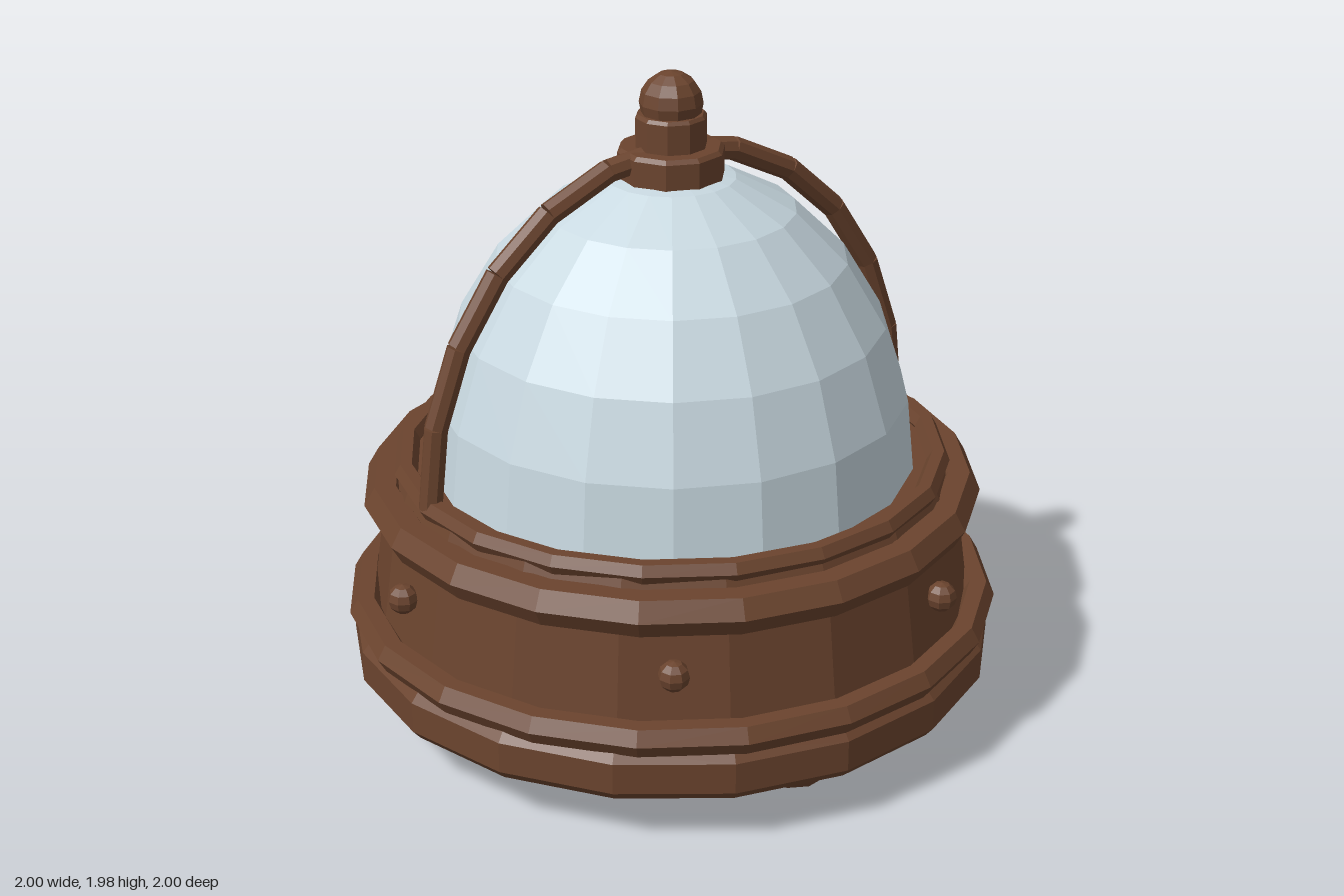
import * as THREE from 'three';

const brown = new THREE.MeshStandardMaterial({ color: 0x6b442e });
brown.name = 'brown metal';
const glass = new THREE.MeshStandardMaterial({ color: 0xc8d8e0 });
glass.name = 'pale glass';

// Faceted mesh: unshared corners give every face its own normal
function part(name, geometry, material = brown) {
  const g = geometry.index ? geometry.toNonIndexed() : geometry;
  g.computeVertexNormals();
  const mesh = new THREE.Mesh(g, material);
  mesh.name = name;
  return mesh;
}

// Turned part from [radius, y] pairs, listed bottom to top
function turned(name, sides, points) {
  return part(name, new THREE.LatheGeometry(points.map(([r, y]) => new THREE.Vector2(r, y)), sides));
}

// Six-sided ring lying flat
function ring(name, radius, tube, y) {
  const g = new THREE.TorusGeometry(radius, tube, 6, 20).rotateX(Math.PI / 2);
  return part(name, g.translate(0, y, 0));
}

export function createModel() {
  const model = new THREE.Group();
  model.name = 'dome lamp';

  // Base plate, tapered housing and its rings
  model.add(
    turned('basePlate', 18, [[0, 0.15], [0.965, 0.15], [0.99, 0.18], [0.99, 0.275], [0.965, 0.305], [0, 0.305]]),
    turned('housing', 18, [[0.925, 0.3], [0.875, 0.66], [0.83, 0.78], [0, 0.78]]),
    ring('lowerRing', 0.95, 0.05, 0.34),
    ring('upperRing', 0.875, 0.065, 0.696),
    ring('rimRing', 0.81, 0.035, 0.79),
  );

  // Feet: one at the front, two at the back
  for (let i = 0; i < 3; i++) {
    const a = (i * 2 * Math.PI) / 3;
    const foot = turned('foot', 8, [[0, 0], [0.085, 0.02], [0.16, 0.09], [0.16, 0.17]]);
    foot.position.set(0.71 * Math.sin(a), 0, 0.71 * Math.cos(a));
    foot.rotation.y = a;
    model.add(foot);
  }

  // Rivets around the housing
  for (let i = 0; i < 6; i++) {
    const a = (i * Math.PI) / 3;
    const rivet = part('rivet', new THREE.SphereGeometry(0.046, 8, 6));
    rivet.position.set(0.91 * Math.cos(a), 0.522, 0.91 * Math.sin(a));
    model.add(rivet);
  }

  // Glass dome, slightly taller than a half sphere
  const dome = new THREE.SphereGeometry(0.74, 18, 6, 0, Math.PI * 2, 0, Math.PI / 2);
  dome.scale(1, 0.945 / 0.74, 1).translate(0, 0.755, 0);
  model.add(part('glassDome', dome, glass));

  // Guard arch made of short straight bars
  const guard = new THREE.Group();
  guard.name = 'guardArch';
  const archPoint = (i) => {
    const a = (i * Math.PI) / 12;
    return new THREE.Vector3(0.81 * Math.cos(a), 0.79 + 0.96 * Math.sin(a), 0);
  };
  for (let i = 0; i < 12; i++) {
    const p = archPoint(i), q = archPoint(i + 1);
    const dir = q.clone().sub(p);
    const bar = part('guardBar', new THREE.CylinderGeometry(0.036, 0.036, dir.length(), 8));
    bar.position.copy(p).add(q).multiplyScalar(0.5);
    bar.quaternion.setFromUnitVectors(new THREE.Vector3(0, 1, 0), dir.normalize());
    guard.add(bar);
  }
  model.add(guard);

  // Cap, neck and rounded finial
  model.add(
    turned('cap', 10, [[0, 1.67], [0.16, 1.67], [0.16, 1.75], [0.148, 1.762], [0, 1.762]]),
    turned('neck', 10, [[0.106, 1.75], [0.106, 1.85], [0.098, 1.86], [0, 1.86]]),
    part('finial', new THREE.SphereGeometry(0.094, 10, 8).translate(0, 1.89, 0)),
  );

  return model;
}
